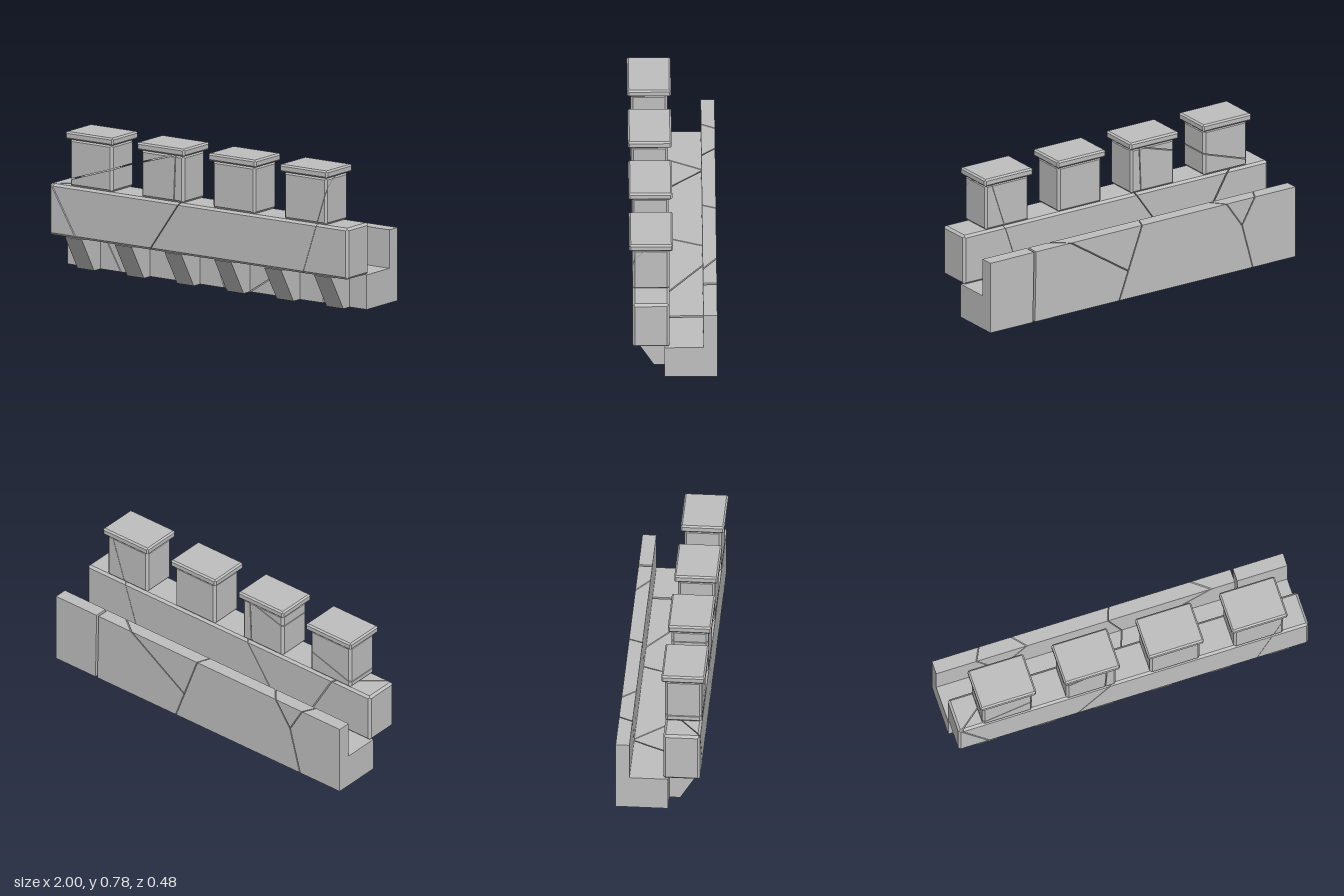
import * as THREE from 'three';
import { ConvexGeometry } from 'three/addons/geometries/ConvexGeometry.js';

// Half-space a*x + b*y + c*z <= d, normalised
const plane = (a, b, c, d) => {
  const l = Math.hypot(a, b, c);
  return { n: new THREE.Vector3(a / l, b / l, c / l), d: d / l };
};

// The two sides of a crack, drawn back by half the gap
const crack = (a, b, c, d, gap = 0.005) => {
  const low = plane(a, b, c, d), high = plane(-a, -b, -c, -d);
  low.d -= gap / 2;
  high.d -= gap / 2;
  return [low, high];
};

// Planes of a box given by its limits, with chamfered edges if bevel > 0
function boxPlanes(min, max, bevel = 0) {
  const planes = [];
  const limit = (axis, s) => (s > 0 ? max[axis] : -min[axis]);
  for (let i = 0; i < 3; i++) {
    for (const s of [-1, 1]) {
      const v = [0, 0, 0];
      v[i] = s;
      planes.push(plane(...v, limit(i, s)));
      if (!bevel) continue;
      const j = (i + 1) % 3;
      for (const t of [-1, 1]) {
        const e = [0, 0, 0];
        e[i] = s;
        e[j] = t;
        planes.push(plane(...e, limit(i, s) + limit(j, t) - bevel));
      }
    }
  }
  return planes;
}

// Convex stone enclosed by a set of planes; null if nothing is enclosed
function stoneGeometry(planes) {
  const points = [];
  const n = planes.length;
  for (let i = 0; i < n; i++) for (let j = i + 1; j < n; j++) for (let k = j + 1; k < n; k++) {
    const [p, q, r] = [planes[i], planes[j], planes[k]];
    const qr = q.n.clone().cross(r.n);
    const det = p.n.dot(qr);
    if (Math.abs(det) < 1e-5) continue;
    const v = qr.multiplyScalar(p.d)
      .addScaledVector(r.n.clone().cross(p.n), q.d)
      .addScaledVector(p.n.clone().cross(q.n), r.d)
      .divideScalar(det);
    if (planes.some(o => o.n.dot(v) > o.d + 1e-6)) continue;
    if (points.every(o => o.distanceTo(v) > 1e-4)) points.push(v);
  }
  return points.length < 4 ? null : new ConvexGeometry(points);
}

export function createModel() {
  const model = new THREE.Group();
  model.name = 'battlement';
  const stone = new THREE.MeshStandardMaterial({ color: 0xbfbfbf });
  stone.name = 'grey stone';

  const add = (name, planes) => {
    const geometry = stoneGeometry(planes);
    if (!geometry) return;
    const mesh = new THREE.Mesh(geometry, stone);
    mesh.name = name;
    model.add(mesh);
  };

  // Walkway floor and rear wall, broken into six blocks by the same cracks
  const [leftOfA, rightOfA] = crack(1, 0.02, 0, 0.715, 0.014);
  const [leftOfB, rightOfB] = crack(1, 0.37, 0.37, 0.067);
  const [leftOfC, rightOfC] = crack(1, -1.53, -1.3, 0.16);
  const [leftOfD, rightOfD] = crack(1, 0.58, 0.5, -0.618);
  const [leftOfE, rightOfE] = crack(1, -0.7, -0.86, -0.627);
  const [leftOfF, rightOfF] = crack(1, -0.27, -0.403, -0.624);
  const blocks = [
    [leftOfD, leftOfF],
    [rightOfD, leftOfE],
    [rightOfE, rightOfF, leftOfB],
    [rightOfB, leftOfC],
    [rightOfB, rightOfC, leftOfA],
    [rightOfA],
  ];
  for (const cuts of blocks) {
    add('walkwayFloor', [...boxPlanes([-1, 0, -0.238], [1, 0.192, 0.047]), ...cuts]);
    add('rearWall', [...boxPlanes([-1, 0.192, -0.238], [1, 0.405, -0.163]), ...cuts]);
  }

  // Sloping corbels under the parapet
  const profile = new THREE.Shape([
    [-0.047, 0], [-0.047, 0.192], [-0.22, 0.192], [-0.105, 0],
  ].map(([z, y]) => new THREE.Vector2(z, y)));
  const corbelGeometry = new THREE.ExtrudeGeometry(profile, { depth: 0.112, bevelEnabled: false });
  corbelGeometry.translate(0, 0, -0.056).rotateY(Math.PI / 2);
  for (let i = 0; i < 6; i++) {
    const corbel = new THREE.Mesh(corbelGeometry, stone);
    corbel.name = 'corbel';
    corbel.position.x = -0.835 + i * 0.333;
    model.add(corbel);
  }

  // Parapet, cracked into four stones
  const [leftOfG, rightOfG] = crack(1, 0.59, 1.25, -0.428);
  const [leftOfH, rightOfH] = crack(1, -0.7, 0, -0.461);
  const [leftOfI, rightOfI] = crack(1, -0.33, -0.31, 0.566, 0.002);
  const parapet = boxPlanes([-0.997, 0.192, 0.02], [0.997, 0.477, 0.22], 0.013);
  for (const cuts of [[leftOfG], [rightOfG, leftOfH], [rightOfH, leftOfI], [rightOfI]]) {
    add('parapet', [...parapet, ...cuts]);
  }

  // Merlons with overhanging cap stones, three of them cracked
  const [belowJ, aboveJ] = crack(-0.32, 1, 0, 0.79);
  const [belowK, aboveK] = crack(-0.298, 1, 0, 0.785);
  const [leftOfL, rightOfL] = crack(1, -0.04, 0, -0.182);
  const merlonCuts = [
    [[belowJ], [aboveJ]],
    [[leftOfL, belowK], [leftOfL, aboveK], [rightOfL]],
    [[]],
    [[leftOfI], [rightOfI]],
  ];
  merlonCuts.forEach((pieces, i) => {
    const x = -0.718 + i * 0.477;
    const body = boxPlanes([x - 0.142, 0.477, 0.02], [x + 0.142, 0.74, 0.22], 0.013);
    for (const cuts of pieces) add('merlon', [...body, ...cuts]);
    add('merlonCap', boxPlanes([x - 0.159, 0.74, 0.001], [x + 0.159, 0.782, 0.238], 0.009));
  });

  return model;
}
